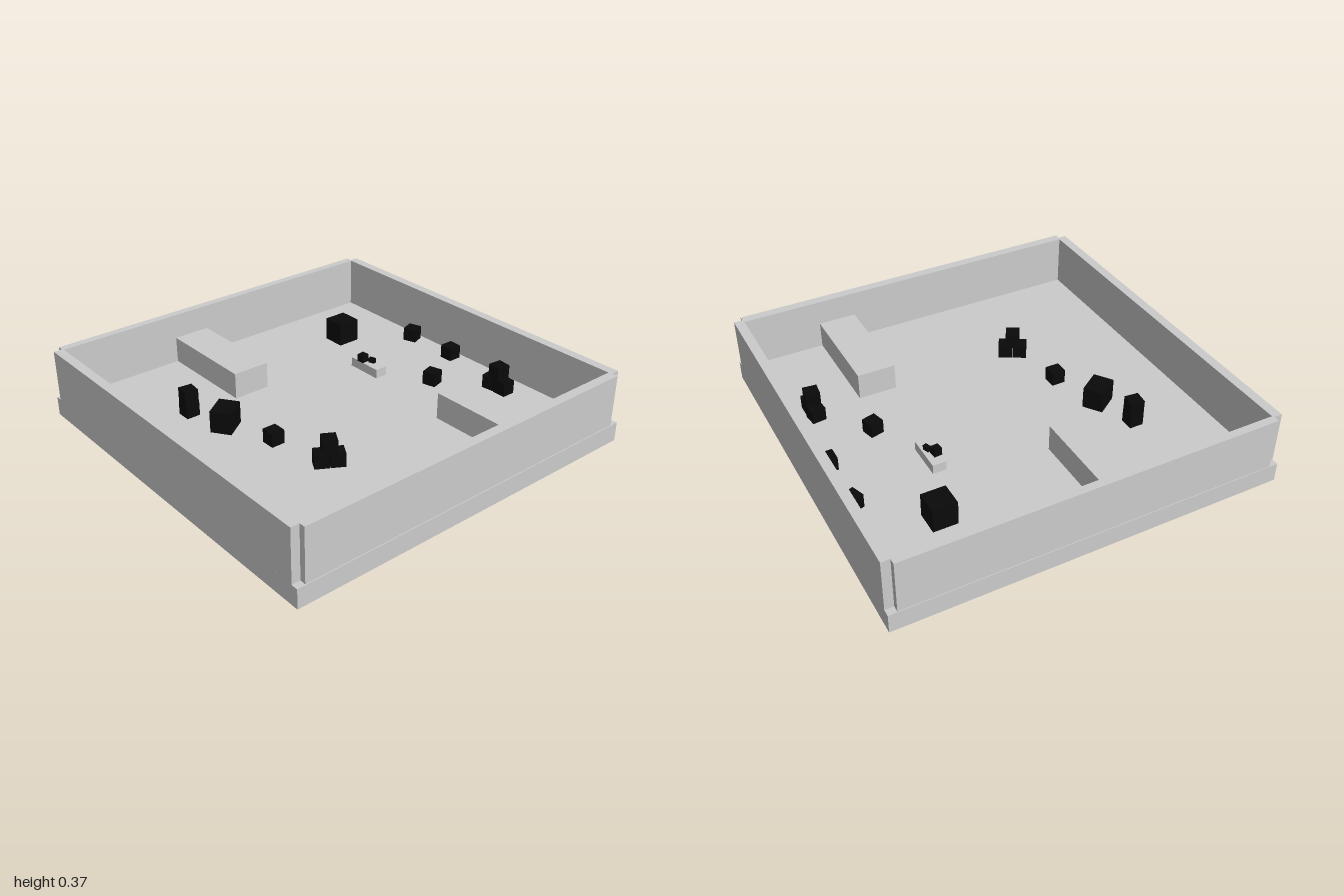
import * as THREE from 'three';

export function createModel() {
  const model = new THREE.Group();
  const grey = new THREE.MeshStandardMaterial({ color: 0xcccccc });
  const black = new THREE.MeshStandardMaterial({ color: 0x0a0a0a });
  const floorY = 0.1;

  // box standing with its underside at y
  function box(parent, name, [w, h, d], [x, y, z], turn = 0, material = grey) {
    const mesh = new THREE.Mesh(new THREE.BoxGeometry(w, h, d), material);
    mesh.name = name;
    mesh.position.set(x, y + h / 2, z);
    mesh.rotation.y = THREE.MathUtils.degToRad(turn);
    parent.add(mesh);
    return mesh;
  }

  // base slab
  box(model, 'floor', [2, floorY, 2], [0, 0, 0]);

  // perimeter walls, leaving a small open notch at each corner
  const wallH = 0.273;
  for (const side of [-1, 1]) {
    box(model, side > 0 ? 'leftWall' : 'rightWall', [0.05, wallH, 1.93], [side * 0.975, floorY, 0]);
  }
  box(model, 'frontWall', [1.912, wallH, 0.05], [0, floorY, 0.97]);
  box(model, 'backWall', [1.912, wallH, 0.042], [0, floorY, -0.975]);

  // inner blocks joined to the back and front walls
  box(model, 'backBlock', [0.2, 0.14, 0.56], [-0.2, floorY, -0.68]);
  box(model, 'frontBlock', [0.2, 0.14, 0.55], [0.45, floorY, 0.675]);

  // low plinth with two tiny pieces on it
  const plinth = new THREE.Group();
  plinth.name = 'plinthWithPieces';
  box(plinth, 'plinth', [0.07, 0.05, 0.2], [0.435, floorY, -0.205]);
  box(plinth, 'smallPiece', [0.042, 0.04, 0.042], [0.418, 0.15, -0.233], 5, black);
  box(plinth, 'tinyPiece', [0.022, 0.025, 0.035], [0.444, 0.15, -0.188], 20, black);
  model.add(plinth);

  // larger crates
  box(model, 'largeCrate', [0.125, 0.125, 0.125], [0.573, floorY, -0.593], 0, black);
  box(model, 'turnedCrate', [0.135, 0.115, 0.108], [-0.506, floorY, -0.196], 35, black);

  // small crates: x, layer, z, turn in degrees
  const s = 0.073;
  const crates = [
    [0.884, 0, -0.338, 20], [0.884, 0, -0.034, 0], [0.594, 0, 0.118, 15], [-0.412, 0, 0.069, 0],
    // two stacked
    [-0.572, 0, -0.415, 0], [-0.572, 1, -0.415, -6],
    // stack of three by the left wall
    [0.803, 0, 0.35, 7], [0.803, 0, 0.43, 0], [0.803, 1, 0.39, -6],
    // turned stack of three
    [-0.365, 0, 0.367, -30], [-0.299, 0, 0.405, -30], [-0.332, 1, 0.386, -30],
  ];
  for (const [x, layer, z, turn] of crates) {
    box(model, 'smallCrate', [s, s, s], [x, floorY + layer * s, z], turn, black);
  }
  return model;
}
